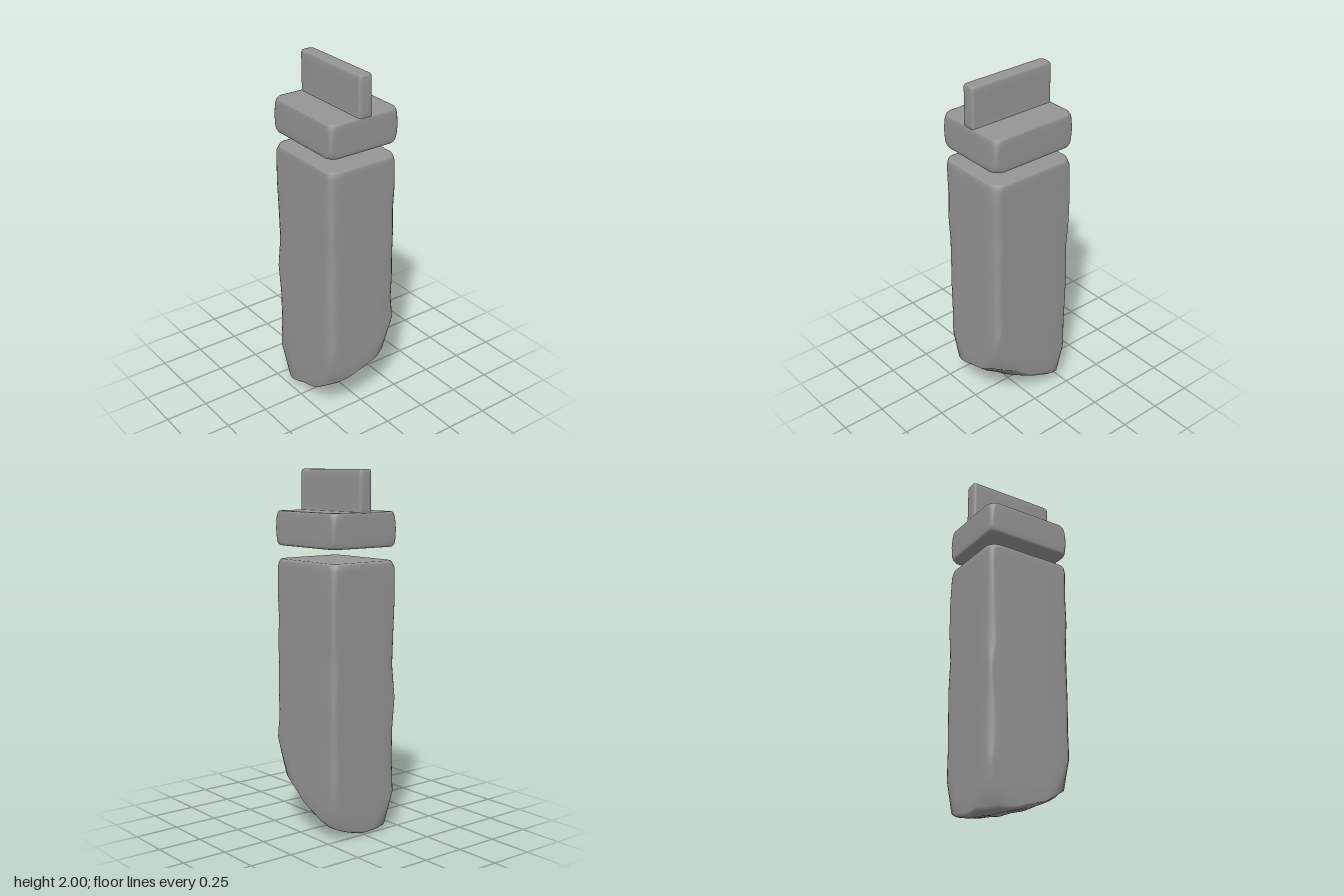
import * as THREE from 'three';

const CORNERS = [[1, 1], [1, -1], [-1, -1], [-1, 1]];
const ARC = 4, SIDE = 5;
const HX = 0.262, HZ = 0.222;
const stone = new THREE.MeshStandardMaterial({ color: 0x959595 });

// Repeatable value from 0 to 1 for a pair of whole numbers
function hash(a, b) {
  const s = Math.sin(a * 127.1 + b * 311.7) * 43758.5453;
  return s - Math.floor(s);
}

// Corner cut sizes that drift smoothly with the seed
function wornCuts(seed, min, range) {
  const i = Math.floor(seed);
  return CORNERS.map((_, k) =>
    min + range * THREE.MathUtils.lerp(hash(i, k + 1), hash(i + 1, k + 1), seed - i));
}

// Horizontal rectangle with four worn corners, as [x, z] points
function ring({ hx = HX, hz = HZ, cuts }) {
  const pts = [];
  CORNERS.forEach(([sx, sz], k) => {
    const c = Math.min(cuts[k], hx * 0.9, hz * 0.9);
    const a = [sx * hx, sz * (hz - c)], b = [sx * (hx - c), sz * hz];
    // travel along the corner in the ring's direction
    const [from, to] = sx * sz > 0 ? [b, a] : [a, b];
    const tip = [sx * (hx - c * 0.2), sz * (hz - c * 0.2)];
    for (let i = 0; i < ARC; i++) {
      const t = i / (ARC - 1), u = 1 - t;
      pts.push([0, 1].map((n) => u * u * from[n] + 2 * u * t * tip[n] + t * t * to[n]));
    }
  });
  // points along the straight sides
  const out = [];
  pts.forEach((p, i) => {
    out.push(p);
    if (i % ARC === ARC - 1) {
      const q = pts[(i + 1) % pts.length];
      for (let j = 1; j < SIDE; j++) {
        out.push([0, 1].map((n) => p[n] + (q[n] - p[n]) * j / SIDE));
      }
    }
  });
  return out;
}

// Skin a stack of rings from top to bottom; row.y may be a rule of x and z
function loft(name, rows) {
  const pos = [], index = [];
  let n = 0;
  rows.forEach((row) => {
    const pts = ring(row), s = row.scale ?? 1;
    n = pts.length;
    pts.forEach(([x, z]) => {
      x *= s;
      z *= s;
      pos.push(x, typeof row.y === 'function' ? row.y(x, z) : row.y, z);
    });
  });
  for (let i = 0; i < rows.length - 1; i++) {
    for (let j = 0; j < n; j++) {
      const a = i * n + j, c = i * n + (j + 1) % n;
      index.push(a, a + n, c, c, a + n, c + n);
    }
  }
  const g = new THREE.BufferGeometry();
  g.setAttribute('position', new THREE.Float32BufferAttribute(pos, 3));
  g.setIndex(index);
  g.computeVertexNormals();
  const mesh = new THREE.Mesh(g, stone);
  mesh.name = name;
  return mesh;
}

// Broken underside: climbs towards +x and towards the back
function underside(x, z) {
  const u = THREE.MathUtils.clamp((x + HX) / (2 * HX), 0, 1);
  const w = THREE.MathUtils.clamp((HZ - z) / (2 * HZ), 0, 1);
  const bumps = 0.006 * (1 + Math.sin(x * 31 + z * 9) * Math.cos(z * 27));
  return 0.19 * u * u + w ** 3 * (0.05 + 0.09 * u) + 0.03 * u * w + bumps - 0.005;
}

function makeColumn() {
  const top = 1.512;
  const rows = [];
  // flat top with a softened rim
  [[0, 0], [0.5, 0], [0.93, 0], [0.975, 0.003], [0.995, 0.014]].forEach(([scale, drop]) =>
    rows.push({ y: top - drop, scale, cuts: wornCuts(1, 0.04, 0.03) }));
  // shaft: straight faces, wavering corners, cut back near the foot
  const steps = 16;
  for (let i = 0; i <= steps; i++) {
    const t = i / steps;
    const foot = 0.07 * Math.max(0, (t - 0.87) / 0.13);
    rows.push({
      y: (x, z) => THREE.MathUtils.lerp(top - 0.04, underside(x, z) + 0.035 * (0.5 - x), t),
      cuts: wornCuts(3 + i / 2, 0.016, 0.034).map((c) => c + foot),
    });
  }
  // rounded lower rim and slanted underside
  const last = rows[rows.length - 1].cuts;
  [[0.97, 0.012], [0.9, 0.003], [0.75, 0], [0.5, 0], [0.25, 0], [0, 0]].forEach(([scale, lift]) =>
    rows.push({ y: (x, z) => underside(x, z) + lift, scale, cuts: last.map((c) => c + 0.02) }));
  return loft('column', rows);
}

function makeCapBlock() {
  // height, scale, least corner cut
  const profile = [[1.775, 0, 0.04], [1.775, 0.6, 0.04], [1.775, 0.955, 0.04], [1.773, 0.985, 0.038],
    [1.764, 0.998, 0.03], [1.74, 1, 0.02], [1.68, 1, 0.012], [1.625, 1, 0.02], [1.6, 0.998, 0.03],
    [1.588, 0.985, 0.04], [1.586, 0.955, 0.045], [1.586, 0.6, 0.045], [1.586, 0, 0.045]];
  return loft('capBlock', profile.map(([y, scale, cut], i) =>
    ({ y, scale, cuts: wornCuts(40 + i / 4, cut, 0.018) })));
}

function makeFin() {
  // height, half length, half thickness
  const profile = [[2, 0, 0], [2, 0.2, 0.02], [2, 0.25, 0.03], [1.997, 0.258, 0.036], [1.988, HX, 0.04],
    [1.96, HX, 0.041], [1.88, HX, 0.041], [1.8, HX, 0.041], [1.78, HX, 0.042], [1.765, 0.258, 0.044]];
  return loft('fin', profile.map(([y, hx, hz], i) =>
    ({ y, hx, hz, cuts: wornCuts(70 + i / 4, 0.008, 0.012) })));
}

export function createModel() {
  const model = new THREE.Group();
  model.name = 'stonePillar';
  model.add(makeColumn(), makeCapBlock(), makeFin());
  return model;
}
